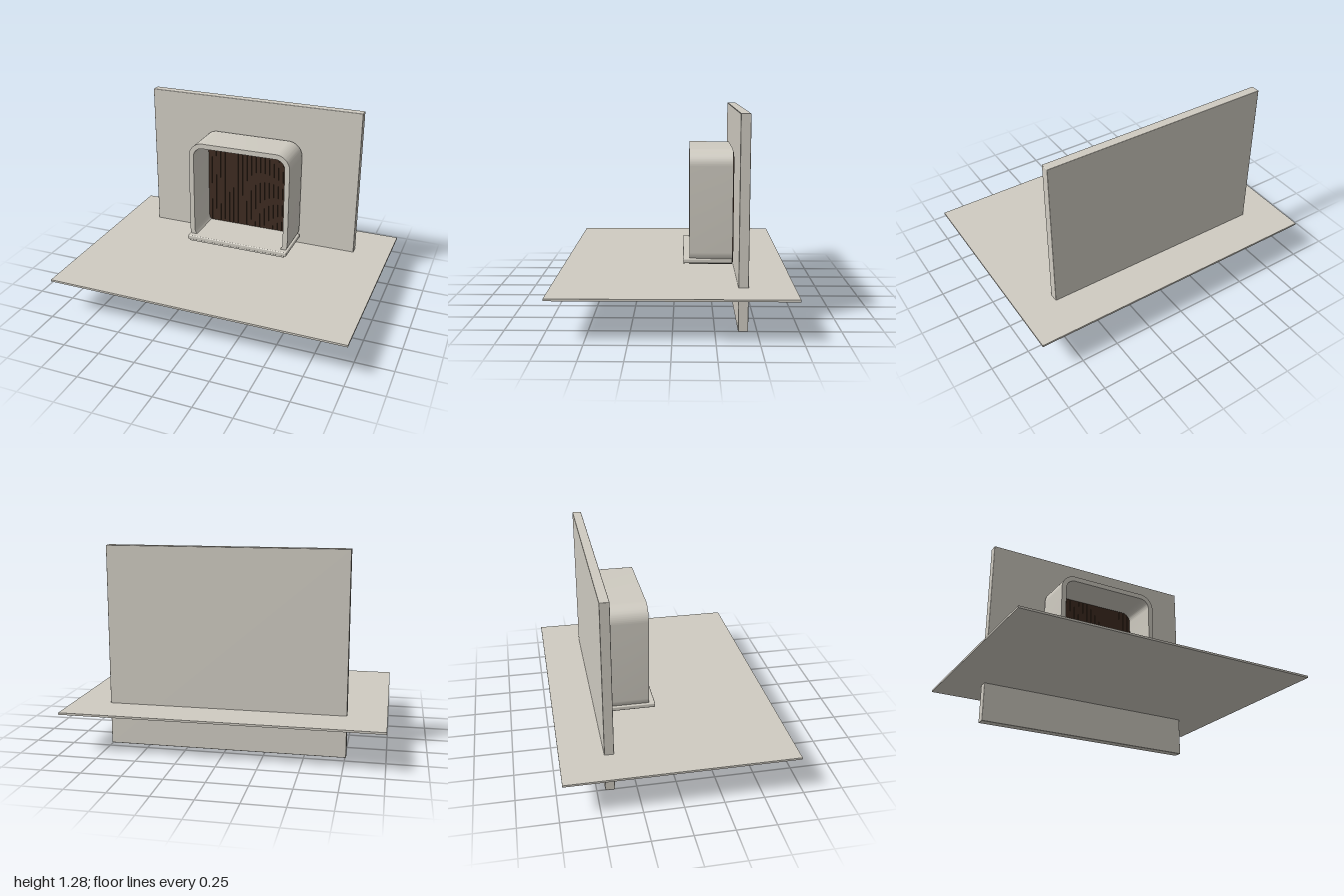
import * as THREE from 'three';
import { RoundedBoxGeometry } from 'three/addons/geometries/RoundedBoxGeometry.js';
import { toCreasedNormals } from 'three/addons/utils/BufferGeometryUtils.js';

const plaster = new THREE.MeshStandardMaterial({ name: 'warm grey plaster', color: 0xcfcbc1 });
const wood = new THREE.MeshStandardMaterial({ name: 'dark wood', color: 0x3d2b20 });

// Adds a rounded rectangle, centred on (0, cy), to a shape or path
function roundedRect(path, w, h, r, cy) {
  const x = w / 2, b = cy - h / 2, t = cy + h / 2;
  path.moveTo(-x + r, b);
  path.lineTo(x - r, b);
  path.absarc(x - r, b + r, r, -Math.PI / 2, 0);
  path.lineTo(x, t - r);
  path.absarc(x - r, t - r, r, 0, Math.PI / 2);
  path.lineTo(-x + r, t);
  path.absarc(-x + r, t - r, r, Math.PI / 2, Math.PI);
  path.lineTo(-x, b + r);
  path.absarc(-x + r, b + r, r, Math.PI, Math.PI * 1.5);
  return path;
}

export function createModel() {
  const group = new THREE.Group();

  function add(name, geometry, material, x, y, z) {
    const mesh = new THREE.Mesh(geometry, material);
    mesh.name = name;
    mesh.position.set(x, y, z);
    group.add(mesh);
    return mesh;
  }

  // Ground slab and the wall passing through it
  add('ground', new THREE.BoxGeometry(2, 0.013, 1.44), plaster, 0, 0.262, 0);
  add('wall', new RoundedBoxGeometry(1.514, 1.284, 0.06, 2, 0.004), plaster, 0, 0.642, -0.417);

  // Deep window surround with rounded corners
  const cy = 0.662;
  const outline = roundedRect(new THREE.Shape(), 0.722, 0.745, 0.1, cy);
  outline.holes.push(roundedRect(new THREE.Path(), 0.654, 0.677, 0.066, cy));
  const surround = new THREE.ExtrudeGeometry(outline, { depth: 0.273, bevelEnabled: false, curveSegments: 14 });
  add('windowSurround', toCreasedNormals(surround, 0.6), plaster, 0, 0, -0.373);

  // Sill with a small drip lip under its front edge
  add('sill', new RoundedBoxGeometry(0.734, 0.03, 0.312, 3, 0.007), plaster, 0, 0.332, -0.216);
  add('sillDrip', new THREE.BoxGeometry(0.7, 0.012, 0.008), plaster, 0, 0.314, -0.066);

  // Vertical shutter slats closing the back of the opening
  const count = 20, pitch = 0.0335;
  const slats = new THREE.Group();
  slats.name = 'shutterSlats';
  for (let i = 0; i < count; i++) {
    const x = (i - (count - 1) / 2) * pitch;
    const end = i === 0 || i === count - 1;
    const slat = new THREE.Mesh(new THREE.BoxGeometry(0.031, end ? 0.66 : 0.7, 0.016), wood);
    slat.name = 'slat';
    slat.position.set(x, cy, -0.371);
    slats.add(slat);
  }
  group.add(slats);

  return group;
}
